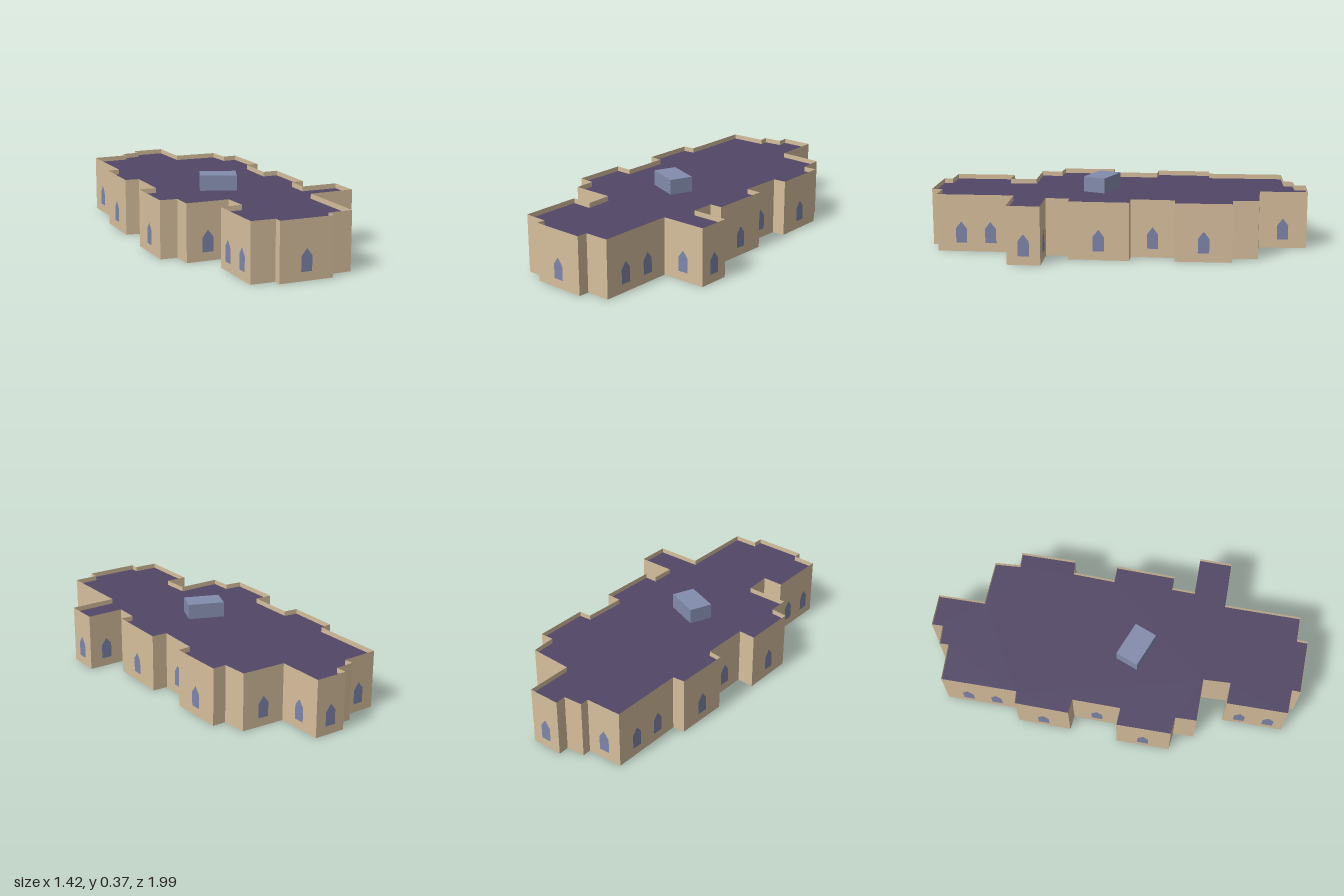
import * as THREE from 'three';

const WALL_H = 0.315, ROOF_Y = 0.288;

// Footprint corners (x, z), clockwise seen from above
const OUTLINE = [
  [-0.31, -1], [-0.21, -0.76], [0.02, -0.84], [0.08, -0.715], [0.15, -0.745], [0.265, -0.465],
  [0.2, -0.435], [0.28, -0.215], [0.36, -0.245], [0.475, 0.06], [0.41, 0.085], [0.455, 0.205],
  [0.645, 0.13], [0.71, 0.295], [0.475, 0.39], [0.63, 0.78], [0.505, 0.83], [0.525, 0.885],
  [0.25, 0.99], [0.235, 0.945], [0.11, 0.99], [-0.015, 0.68], [0.095, 0.64], [0.035, 0.505],
  [-0.185, 0.59], [-0.23, 0.485], [-0.32, 0.51], [-0.43, 0.235], [-0.34, 0.205], [-0.435, -0.04],
  [-0.51, -0.02], [-0.615, -0.295], [-0.555, -0.325], [-0.71, -0.71], [-0.525, -0.79],
  [-0.545, -0.835], [-0.45, -0.88], [-0.475, -0.935],
];

function material(name, color, side = THREE.FrontSide) {
  const m = new THREE.MeshStandardMaterial({ color, side });
  m.name = name;
  return m;
}

function polygon(points) {
  return new THREE.ShapeGeometry(new THREE.Shape(points.map(([x, y]) => new THREE.Vector2(x, y))));
}

function addMesh(parent, name, geometry, mat, x = 0, y = 0, z = 0) {
  const mesh = new THREE.Mesh(geometry, mat);
  mesh.name = name;
  mesh.position.set(x, y, z);
  parent.add(mesh);
  return mesh;
}

export function createModel() {
  const stone = material('sandstone', 0xd6be9c, THREE.DoubleSide);
  const slate = material('purple slate', 0x524766, THREE.DoubleSide);
  const glass = material('blue glass', 0x7e85ab);
  const metal = material('grey blue metal', 0x848cad);

  const model = new THREE.Group();
  model.name = 'building';

  // Pointed window, outlined from its sill
  const windowGeo = polygon([[-0.03, 0.048], [0.03, 0.048], [0.03, 0.127], [0, 0.166], [-0.03, 0.127]]);

  // One thin wall per footprint edge; longer walls carry one or two windows
  OUTLINE.forEach(([ax, az], i) => {
    const [bx, bz] = OUTLINE[(i + 1) % OUTLINE.length];
    const dx = bx - ax, dz = bz - az, length = Math.hypot(dx, dz);
    const side = new THREE.Group();
    side.name = 'wallSection';
    side.position.set((ax + bx) / 2, 0, (az + bz) / 2);
    side.rotation.y = Math.atan2(dz, -dx);
    model.add(side);
    addMesh(side, 'wall', new THREE.PlaneGeometry(length, WALL_H), stone, 0, WALL_H / 2);
    const offsets = length > 0.33 ? [-0.08, 0.08] : length > 0.165 ? [0] : [];
    for (const x of offsets) addMesh(side, 'window', windowGeo, glass, x, 0, 0.002);
  });

  // Flat roof, set just below the top of the walls
  const roofGeo = polygon(OUTLINE.map(([x, z]) => [x, -z])).rotateX(-Math.PI / 2);
  addMesh(model, 'roof', roofGeo, slate, 0, ROOF_Y, 0);

  // Rooftop unit
  const unitH = 0.372 - ROOF_Y;
  addMesh(model, 'rooftopUnit', new THREE.BoxGeometry(0.2, unitH, 0.13), metal, 0, ROOF_Y + unitH / 2, 0.098);

  return model;
}
